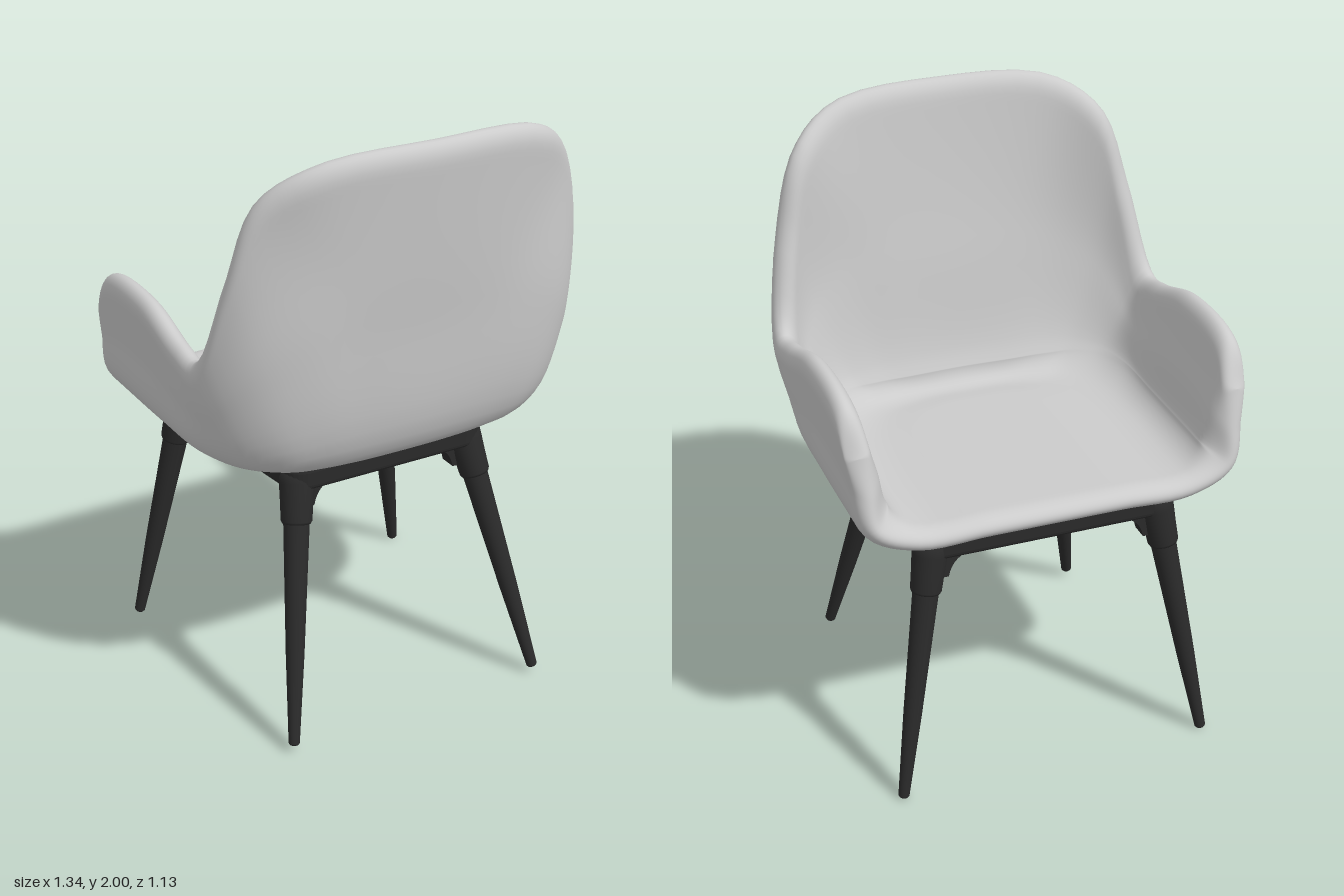
import * as THREE from 'three';
import { mergeVertices } from 'three/addons/utils/BufferGeometryUtils.js';

const V = (x, y, z) => new THREE.Vector3(x, y, z);
const HALF_THICKNESS = 0.04, EDGE = 0.065, PADDING = 0.035;

// Centre sheet of the tub: rows run from the front of one arm to the middle of the back
const floorRow = [[.45, .94, -.55], [.44, .94, -.42], [.44, .94, -.1], [.42, .94, .08], [.38, .94, .18],
  [.32, .94, .25], [.24, .94, .28], [.14, .94, .3], [0, .94, .3]];
const cornerRow = [[.58, 1, -.54], [.58, 1, -.42], [.58, 1, -.1], [.57, 1, .14], [.515, 1, .28],
  [.41, 1, .36], [.3, 1, .385], [.17, 1, .395], [0, 1, .4]];
const bellyRow = [[.6, 1.11, -.518], [.607, 1.17, -.415], [.608, 1.18, -.1], [.612, 1.15, .14], [.6, 1.17, .27],
  [.53, 1.3, .385], [.4, 1.4, .445], [.22, 1.45, .467], [0, 1.45, .472]];
const rimRow = [[.62, 1.24, -.487], [.63, 1.375, -.4], [.635, 1.4, -.12], [.638, 1.335, .11], [.642, 1.325, .235],
  [.6, 1.6, .34], [.527, 1.86, .4], [.37, 1.975, .49], [0, 2, .53]];

function mirroredCurve(row) {
  const half = row.map(p => V(...p));
  const other = half.slice(0, -1).reverse().map(p => V(-p.x, p.y, p.z));
  return new THREE.CatmullRomCurve3([...half, ...other]);
}

function geometryFrom(positions, index) {
  const g = new THREE.BufferGeometry();
  g.setAttribute('position', new THREE.Float32BufferAttribute(positions, 3));
  g.setIndex(index);
  return g;
}

// Lofts the sheet, then thickens it with a rounded edge and padding in the inner corner
function shellGeometry() {
  const rows = [floorRow, cornerRow, bellyRow, rimRow].map(mirroredCurve);
  const NS = 110, NT = 42, grid = [];
  const columnT = j => Math.sin(Math.PI / 2 * j / NT);
  for (let i = 0; i <= NS; i++) {
    const s = (1 - Math.cos(Math.PI * i / NS)) / 2;
    const [floor, corner, belly, rim] = rows.map(c => c.getPoint(s));
    const spine = V(0, .94, Math.min(floor.z, .1));
    const mid = spine.clone().lerp(floor, .5);
    const column = new THREE.CatmullRomCurve3([spine, mid, floor, corner, belly, rim]);
    const pts = [];
    for (let j = 0; j <= NT; j++) pts.push(column.getPoint(columnT(j)));
    grid.push(pts);
  }
  const pos = [], index = [], depth = [];
  grid.forEach((pts, i) => pts.forEach((p, j) => {
    pos.push(p.x, p.y, p.z);
    const d = Math.min(p.distanceTo(pts[NT]), p.distanceTo(grid[0][j]), p.distanceTo(grid[NS][j]));
    const k = 1 - Math.min(d / EDGE, 1);
    const h = HALF_THICKNESS * Math.sqrt(1 - k * k);
    const t = columnT(j), smooth = THREE.MathUtils.smoothstep;
    const pad = PADDING * smooth(t, .42, .6) * (1 - smooth(t, .6, 1)) * smooth(d, 0, .1);
    depth.push(h + pad, -h);
    if (i < NS && j < NT) {
      const a = i * (NT + 1) + j, b = a + NT + 1;
      index.push(a, b, a + 1, b, b + 1, a + 1);
    }
  }));
  let sheet = geometryFrom(pos, index);
  sheet.setAttribute('depth', new THREE.Float32BufferAttribute(depth, 2));
  sheet = mergeVertices(sheet, 1e-5);
  sheet.computeVertexNormals();

  const { position: P, normal: N, depth: D } = sheet.attributes;
  const count = P.count, out = [], faces = [];
  for (const side of [0, 1]) {
    for (let v = 0; v < count; v++) {
      const h = D.getComponent(v, side);
      out.push(P.getX(v) + N.getX(v) * h, P.getY(v) + N.getY(v) * h, P.getZ(v) + N.getZ(v) * h);
    }
  }
  const idx = sheet.index.array;
  for (let f = 0; f < idx.length; f += 3) {
    const [a, b, c] = [idx[f], idx[f + 1], idx[f + 2]];
    faces.push(a, b, c, a + count, c + count, b + count);
  }
  const solid = mergeVertices(geometryFrom(out, faces), 1e-5);
  solid.computeVertexNormals();
  return solid;
}

// Rounded trapezoid, wider towards the open front of the seat
function trapezoid(Path, inset, r) {
  const x0 = .415 - inset, x1 = .345 - inset, z0 = -.46 + inset, z1 = .28 - inset;
  const p = new Path();
  p.moveTo(-x0 + r, z0);
  p.lineTo(x0 - r, z0);
  p.quadraticCurveTo(x0, z0, x0, z0 + r);
  p.lineTo(x1, z1 - r);
  p.quadraticCurveTo(x1, z1, x1 - r, z1);
  p.lineTo(-x1 + r, z1);
  p.quadraticCurveTo(-x1, z1, -x1, z1 - r);
  p.lineTo(-x0, z0 + r);
  p.quadraticCurveTo(-x0, z0, -x0 + r, z0);
  return p;
}

function frameGeometry() {
  const shape = trapezoid(THREE.Shape, 0, .06);
  shape.holes.push(trapezoid(THREE.Path, .11, .07));
  const g = new THREE.ExtrudeGeometry(shape, {
    depth: .045, bevelThickness: .02, bevelSize: .02, bevelSegments: 4, curveSegments: 8 });
  g.rotateX(Math.PI / 2);
  g.translate(0, .885, 0);
  return g;
}

// Concave web between a leg socket and a frame bar
function webGeometry() {
  const s = new THREE.Shape();
  s.moveTo(0, .02);
  s.lineTo(.14, .02);
  s.lineTo(.14, 0);
  s.quadraticCurveTo(.06, 0, .045, -.08);
  s.lineTo(0, -.08);
  const g = new THREE.ExtrudeGeometry(s, { depth: .06, bevelEnabled: false, curveSegments: 8 });
  g.translate(0, 0, -.03);
  return g;
}

export function createModel() {
  const model = new THREE.Group();
  model.name = 'armchair';
  const fabric = new THREE.MeshStandardMaterial({ color: 0xcccccc });
  const dark = new THREE.MeshStandardMaterial({ color: 0x2a2a2a });
  const add = (name, geometry, material, parent = model) => {
    const mesh = new THREE.Mesh(geometry, material);
    mesh.name = name;
    parent.add(mesh);
    return mesh;
  };

  add('seatShell', shellGeometry(), fabric);
  add('seatFrame', frameGeometry(), dark);

  // Splayed tapered legs, each in a flared socket
  const legs = [
    { name: 'OpenSide', top: V(.375, .88, -.425), foot: V(.525, .005, -.547) },
    { name: 'BackrestSide', top: V(.305, .88, .23), foot: V(.46, .028, .475) },
  ];
  const web = webGeometry();
  for (const { name, top, foot } of legs) {
    for (const side of [1, -1]) {
      const a = V(top.x * side, top.y, top.z), b = V(foot.x * side, foot.y, foot.z);
      const length = a.distanceTo(b);
      const leg = new THREE.Group();
      leg.name = (side > 0 ? 'left' : 'right') + name + 'Leg';
      leg.position.copy(b);
      leg.quaternion.setFromUnitVectors(V(0, 1, 0), a.clone().sub(b).normalize());
      const taper = [[0, 0], [.014, 0], [.018, .006], [.03, .3], [.043, length - .14], [.043, length]];
      add('legShaft', new THREE.LatheGeometry(taper.map(p => new THREE.Vector2(...p)), 24), dark, leg);
      const flare = [[.04, -.18], [.046, -.18], [.05, -.172], [.053, -.11], [.057, -.05], [.058, 0], [0, 0]];
      add('legSocket', new THREE.LatheGeometry(
        flare.map(([r, y]) => new THREE.Vector2(r, length + y)), 24), dark, leg);
      model.add(leg);

      // Webs towards the middle along both bars
      const alongX = add('socketWeb', web, dark);
      alongX.position.set(a.x, .825, a.z);
      alongX.rotation.y = side > 0 ? Math.PI : 0;
      const alongZ = add('socketWeb', web, dark);
      alongZ.position.set(a.x, .825, a.z);
      alongZ.rotation.y = a.z > 0 ? Math.PI / 2 : -Math.PI / 2;
    }
  }
  return model;
}
